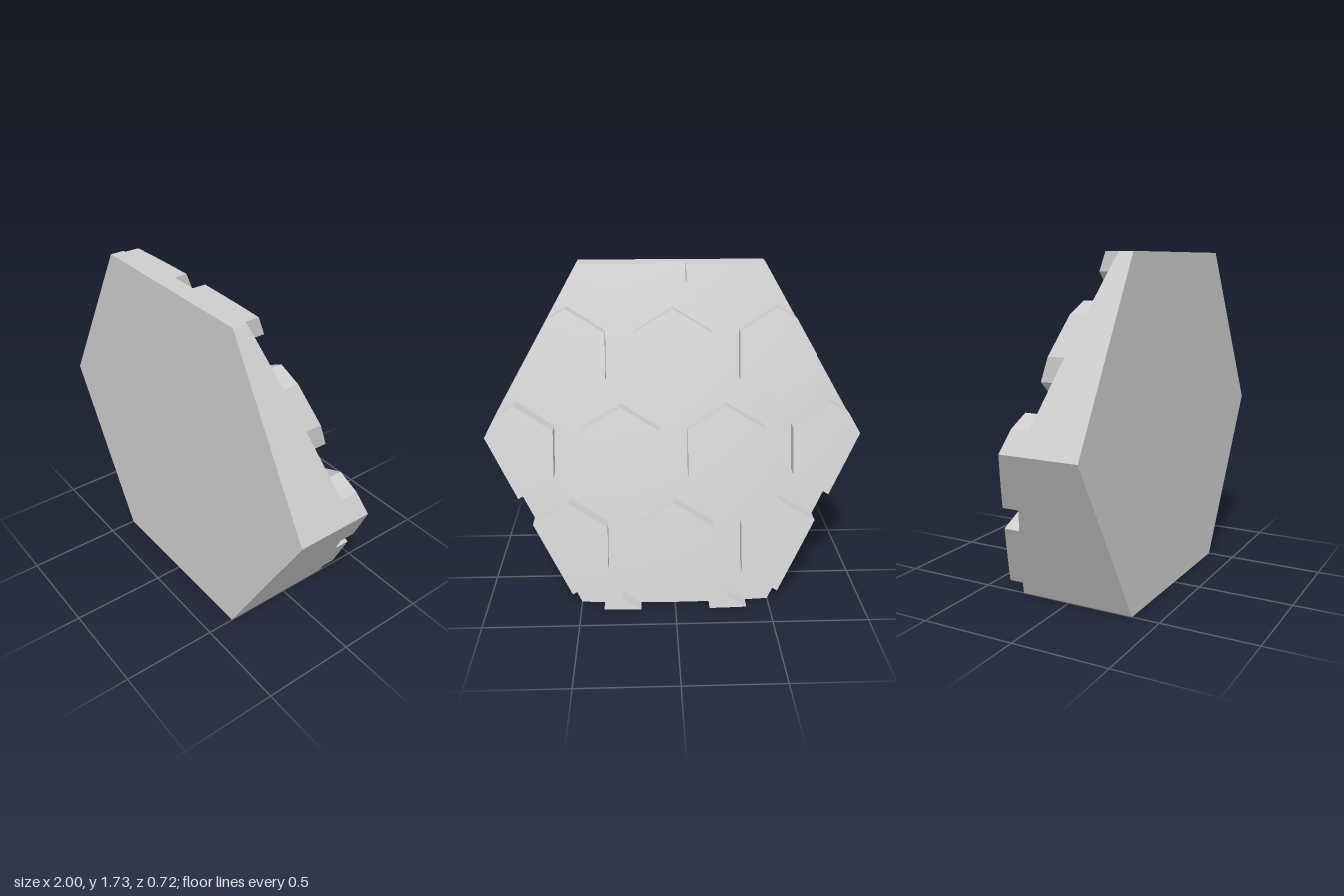
import * as THREE from 'three';
import { toCreasedNormals } from 'three/addons/utils/BufferGeometryUtils.js';

const H = Math.sqrt(3) / 2;      // half height of the block
const FRONT = 0.355;             // flat front face
const PITCH = 0.56;              // spacing of the raised tiles
const ROW = PITCH * H;

// Gently domed, tilted surfaces of the tiles and of the block beneath them
const tileZ = (x, y) => -0.0987 + 0.32 * (y - H) + 0.018 * (y - H) ** 2 + 0.055 * x * x;
const baseZ = (x, y) => tileZ(x, y) + 0.068 + 0.03 * x * x;

// Counter-clockwise hexagon
function hexagon(cx, cy, r, turn) {
  return Array.from({ length: 6 }, (_, i) => {
    const a = turn + i * Math.PI / 3;
    return [cx + r * Math.cos(a), cy + r * Math.sin(a)];
  });
}

// Cut a convex polygon to the inside of another
function clip(poly, frame) {
  let out = poly;
  frame.forEach((p, i) => {
    const q = frame[(i + 1) % frame.length];
    const side = v => (q[0] - p[0]) * (v[1] - p[1]) - (q[1] - p[1]) * (v[0] - p[0]);
    const src = out;
    out = [];
    src.forEach((a, j) => {
      const b = src[(j + 1) % src.length];
      const sa = side(a), sb = side(b);
      if (sa >= 0) out.push(a);
      if (sa * sb < 0) {
        const t = sa / (sa - sb);
        out.push([a[0] + (b[0] - a[0]) * t, a[1] + (b[1] - a[1]) * t]);
      }
    });
  });
  return out;
}

// Solid over a polygon: curved back cap, walls along z, optional front cap
function solid(poly, backZ, frontZ, n, frontCap) {
  const pos = [];
  const back = p => [p[0], p[1], backZ(p[0], p[1])];
  const front = p => [p[0], p[1], frontZ(p[0], p[1])];
  const tri = (a, b, c) => pos.push(...a, ...b, ...c);
  const mix = (a, b, t) => [a[0] + (b[0] - a[0]) * t, a[1] + (b[1] - a[1]) * t];
  const c = [0, 1].map(k => poly.reduce((s, p) => s + p[k], 0) / poly.length);

  poly.forEach((a, i) => {
    const b = poly[(i + 1) % poly.length];
    // point j of ring r inside the wedge centre-a-b
    const at = (r, j) => mix(mix(c, a, r / n), mix(c, b, r / n), r ? j / r : 0);
    for (let r = 0; r < n; r++) {
      for (let j = 0; j <= r; j++) {
        tri(back(at(r, j)), back(at(r + 1, j + 1)), back(at(r + 1, j)));
        if (j < r) tri(back(at(r, j)), back(at(r, j + 1)), back(at(r + 1, j + 1)));
      }
    }
    for (let j = 0; j < n; j++) {
      const p = at(n, j), q = at(n, j + 1);
      tri(back(p), back(q), front(q));
      tri(back(p), front(q), front(p));
      if (frontCap) tri(front(c), front(p), front(q));
    }
  });
  const geo = new THREE.BufferGeometry();
  geo.setAttribute('position', new THREE.Float32BufferAttribute(pos, 3));
  return toCreasedNormals(geo, 0.5);
}

export function createModel() {
  const model = new THREE.Group();
  model.name = 'hexagonalGripBlock';
  const grey = new THREE.MeshStandardMaterial({ color: 0xcccccc });
  grey.name = 'light grey';

  // Wedge-shaped hexagonal block
  const outline = hexagon(0, H, 1, 0);
  const block = new THREE.Mesh(solid(outline, baseZ, () => FRONT, 16, true), grey);
  block.name = 'block';
  model.add(block);

  // Raised hexagonal tiles on the back, trimmed at the block's outline
  const tiles = new THREE.Group();
  tiles.name = 'raisedTiles';
  const rows = [
    [-0.5, 0.5],
    [-1, 0, 1],
    [-1.5, -0.5, 0.5, 1.5],
    [-1, 0, 1],
    [-0.5, 0.5],
  ];
  rows.forEach((row, i) => row.forEach(k => {
    const tile = hexagon(k * PITCH, 0.79 + (i - 2) * ROW, 0.237, Math.PI / 6);
    const shape = clip(tile, outline);
    const mesh = new THREE.Mesh(
      solid(shape, tileZ, (x, y) => baseZ(x, y) + 0.01, 5, false), grey);
    mesh.name = 'raisedTile';
    tiles.add(mesh);
  }));
  model.add(tiles);
  return model;
}
